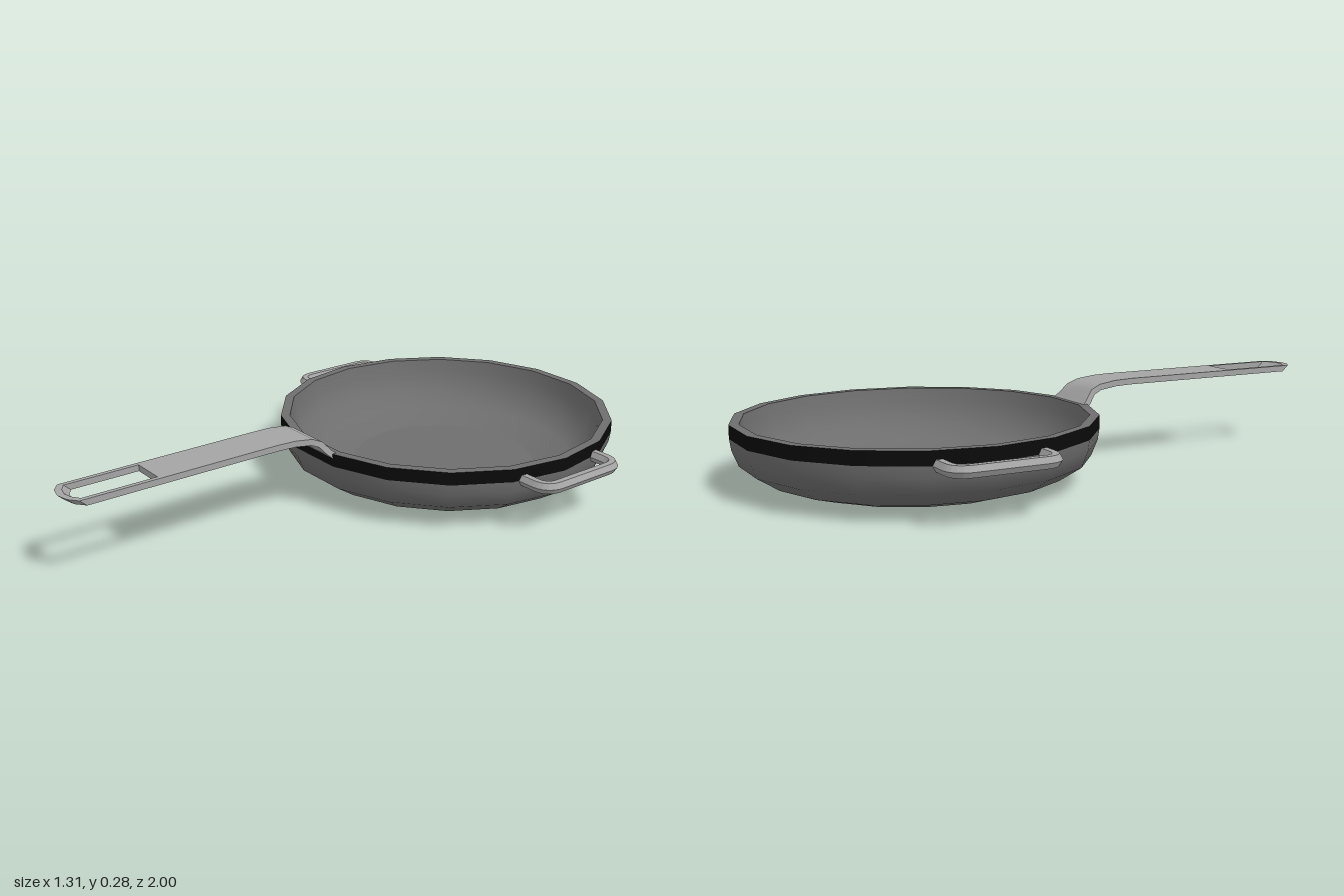
import * as THREE from 'three';

const SIDES = 18;
const PAN_Z = -0.44;

export function createModel() {
  const model = new THREE.Group();
  const iron = new THREE.MeshStandardMaterial({ color: 0x6e6e6e });
  iron.name = 'dark iron';
  const steel = new THREE.MeshStandardMaterial({ color: 0xa4a4a4 });
  steel.name = 'light steel';
  const black = new THREE.MeshStandardMaterial({ color: 0x0a0a0a });
  black.name = 'black band';

  const add = (name, geometry, material) => {
    const mesh = new THREE.Mesh(geometry, material);
    mesh.name = name;
    model.add(mesh);
    return mesh;
  };

  // Pan: separate turned profiles keep the rim edges sharp
  const turn = (name, points, material) => {
    const profile = points.map(([r, y]) => new THREE.Vector2(r, y));
    const geometry = new THREE.LatheGeometry(profile, SIDES, Math.PI / 2);
    add(name, geometry, material).position.z = PAN_Z;
  };
  turn('panBase', [[0, 0], [0.22, 0], [0.375, 0.006]], iron);
  turn('panOuterWall', [[0.375, 0.006], [0.47, 0.035], [0.54, 0.08], [0.56, 0.13], [0.565, 0.165]], iron);
  turn('rimBand', [[0.565, 0.165], [0.565, 0.207]], black);
  turn('rimTop', [[0.565, 0.207], [0.535, 0.207]], iron);
  turn('panInnerWall', [[0.535, 0.207], [0.527, 0.165], [0.505, 0.095], [0.44, 0.048], [0.315, 0.02]], iron);
  turn('panFloor', [[0.315, 0.02], [0, 0.02]], iron);

  // Handle neck: a box bent through stations of z, y and half width
  const stations = [
    [0.105, 0.195, 0.1], [0.125, 0.213, 0.09], [0.15, 0.242, 0.079],
    [0.18, 0.255, 0.074], [0.24, 0.263, 0.071], [0.3, 0.265, 0.07],
  ];
  const last = stations.length - 1;
  const neck = new THREE.BoxGeometry(2, 0.02, 1, 1, 1, last);
  const np = neck.attributes.position;
  for (let i = 0; i < np.count; i++) {
    const k = Math.round((np.getZ(i) + 0.5) * last);
    const [z, y, w] = stations[k];
    const a = stations[Math.max(k - 1, 0)];
    const b = stations[Math.min(k + 1, last)];
    const slope = k === last ? 0 : Math.atan2(b[1] - a[1], b[0] - a[0]);
    const h = np.getY(i);
    np.setXYZ(i, np.getX(i) * w, y + h * Math.cos(slope), z - h * Math.sin(slope));
  }
  neck.computeVertexNormals();
  add('handleNeck', neck, steel);

  // Handle grip: flat bar with a hanging slot and an undercut tip
  const toPoints = (list) => list.map(([x, z]) => new THREE.Vector2(x, z));
  const outline = new THREE.Shape(toPoints([
    [-0.07, 0.3], [0.07, 0.3], [0.07, 0.967], [0.04, 0.991], [0, 1], [-0.04, 0.991], [-0.07, 0.967],
  ]));
  outline.holes.push(new THREE.Path(toPoints([
    [-0.055, 0.715], [-0.055, 0.955], [-0.03, 0.972], [0, 0.979], [0.03, 0.972], [0.055, 0.955], [0.055, 0.715],
  ])));
  const grip = new THREE.ExtrudeGeometry(outline, { depth: 0.02, bevelEnabled: false });
  grip.rotateX(Math.PI / 2);
  grip.translate(0, 0.275, 0);
  const gp = grip.attributes.position;
  for (let i = 0; i < gp.count; i++) {
    if (gp.getY(i) < 0.265 && gp.getZ(i) > 0.9) gp.setZ(i, gp.getZ(i) - 0.022);
  }
  grip.computeVertexNormals();
  add('handleGrip', grip, steel);

  // Side handles: six-sided bar bent into a rounded U
  for (const side of [1, -1]) {
    const v = (x, z) => new THREE.Vector3(side * x, 0.165, PAN_Z - 0.005 + z);
    const out = 0.635, half = 0.158, c = 0.05;
    const path = new THREE.CurvePath();
    path.add(new THREE.LineCurve3(v(0.53, -half), v(out - c, -half)));
    path.add(new THREE.QuadraticBezierCurve3(v(out - c, -half), v(out, -half), v(out, -half + c)));
    path.add(new THREE.LineCurve3(v(out, -half + c), v(out, half - c)));
    path.add(new THREE.QuadraticBezierCurve3(v(out, half - c), v(out, half), v(out - c, half)));
    path.add(new THREE.LineCurve3(v(out - c, half), v(0.53, half)));
    const bar = new THREE.TubeGeometry(path, 40, 0.02, 6).toNonIndexed();
    bar.computeVertexNormals();
    add(side > 0 ? 'leftSideHandle' : 'rightSideHandle', bar, steel);
  }

  return model;
}
